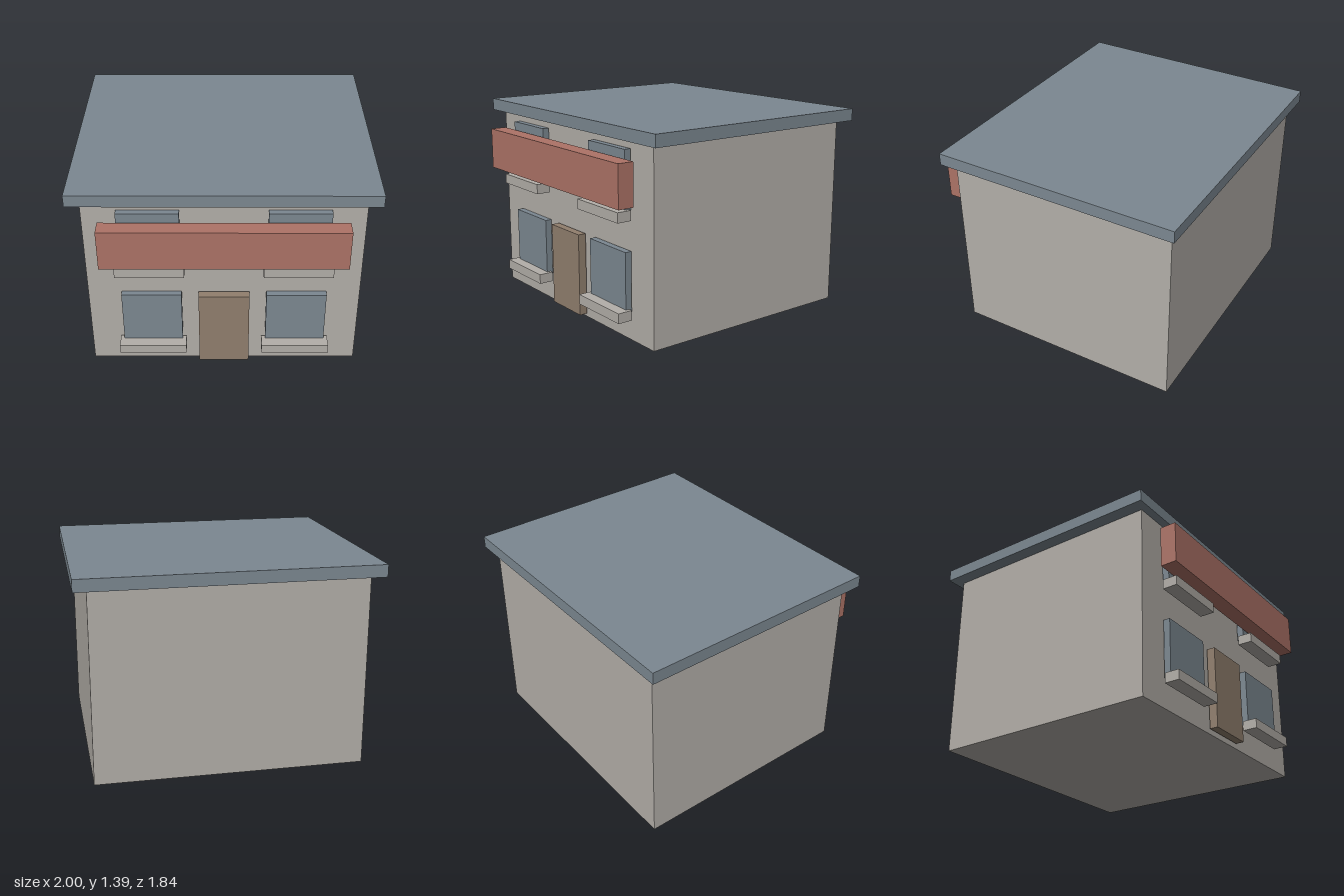
import * as THREE from 'three';

const mat = (name, color) => {
  const m = new THREE.MeshStandardMaterial({ color });
  m.name = name;
  return m;
};

export function createModel() {
  const house = new THREE.Group();
  house.name = 'shop';
  const stone = mat('stone', 0xb3afa9);
  const slate = mat('slate', 0x7c8891);
  const red = mat('awning red', 0xad7367);
  const wood = mat('wood', 0x917f6e);

  // Box given by its extents on each axis
  const block = (name, material, [x0, x1], [y0, y1], [z0, z1]) => {
    const mesh = new THREE.Mesh(new THREE.BoxGeometry(x1 - x0, y1 - y0, z1 - z0), material);
    mesh.position.set((x0 + x1) / 2, (y0 + y1) / 2, (z0 + z1) / 2);
    mesh.name = name;
    house.add(mesh);
  };

  // Main volume and overhanging flat roof
  block('walls', stone, [-0.912, 0.912], [0, 1.31], [-0.862, 0.738]);
  block('roof', slate, [-1, 1], [1.31, 1.393], [-0.919, 0.793]);

  // Front door and long awning box
  block('door', wood, [-0.17, 0.17], [0.03, 0.6], [0.75, 0.807]);
  block('awning', red, [-0.8, 0.8], [0.917, 1.202], [0.807, 0.919]);

  // Two storeys of paired windows with sills
  for (const y of [0.2, 0.857]) {
    for (const x of [-0.485, 0.485]) {
      const side = x > 0 ? 'left' : 'right';
      const floor = y < 0.5 ? 'Lower' : 'Upper';
      block(`${side}${floor}Window`, slate, [x - 0.201, x + 0.201], [y, y + 0.4], [0.744, 0.79]);
      block(`${side}${floor}Sill`, stone, [x - 0.227, x + 0.227], [y - 0.05, y + 0.018], [0.763, 0.865]);
    }
  }
  return house;
}
